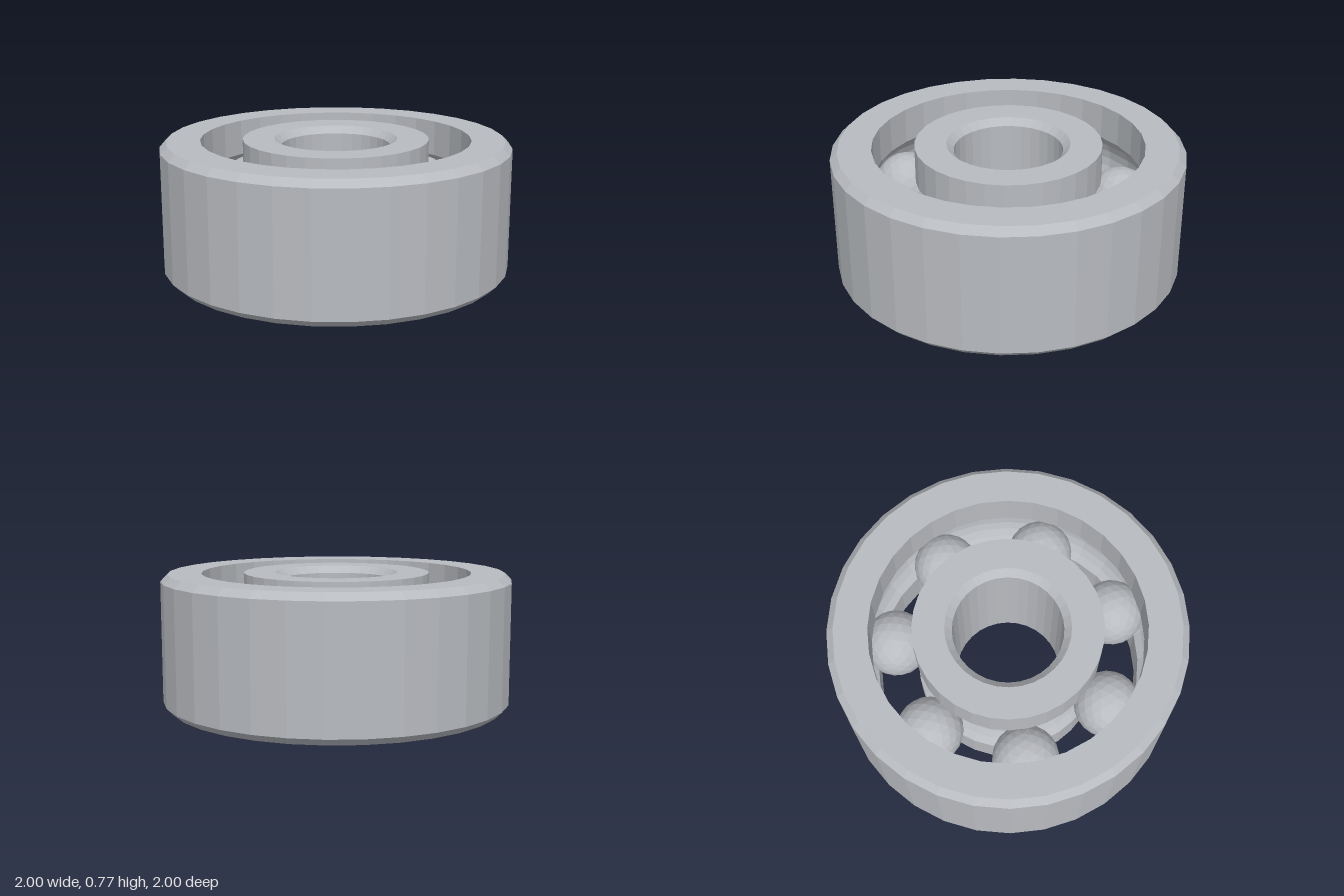
import * as THREE from 'three';

const HEIGHT = 0.77, MID = HEIGHT / 2, CHAMFER = 0.04;
const PITCH = 0.65, BALL_RADIUS = 0.19, BALLS = 7;
const GROOVE_HALF = 0.175, SEGMENTS = 32;

const steel = new THREE.MeshStandardMaterial({ color: 0xb8bbc0 });
steel.name = 'steel';

// Faceted normals
function facet(geometry) {
  const g = geometry.index ? geometry.toNonIndexed() : geometry;
  g.computeVertexNormals();
  return g;
}

// Arc of the ball track, from the bottom lip to the top lip of a wall
function groove(wallRadius, steps = 8) {
  const offset = wallRadius - PITCH;
  const radius = Math.hypot(offset, GROOVE_HALF);
  const half = Math.asin(GROOVE_HALF / radius);
  const points = [];
  for (let i = 0; i <= steps; i++) {
    const a = -half + (2 * half * i) / steps;
    points.push([PITCH + Math.sign(offset) * radius * Math.cos(a), MID + radius * Math.sin(a)]);
  }
  return points;
}

// Closed profile, counterclockwise in (radius, height)
function ring(name, profile) {
  const points = [...profile, profile[0]].map(([r, y]) => new THREE.Vector2(r, y));
  const mesh = new THREE.Mesh(facet(new THREE.LatheGeometry(points, SEGMENTS)), steel);
  mesh.name = name;
  return mesh;
}

export function createModel() {
  const model = new THREE.Group();
  model.name = 'ballBearing';

  // Outer ring: chamfered outside, track inside
  model.add(ring('outerRing', [
    [0.77, 0], [1 - CHAMFER, 0], [1, CHAMFER], [1, HEIGHT - CHAMFER],
    [1 - CHAMFER, HEIGHT], [0.77, HEIGHT], ...groove(0.77).reverse(),
  ]));

  // Inner ring: track outside, chamfered bore
  model.add(ring('innerRing', [
    [0.35, 0], [0.53, 0], ...groove(0.53), [0.53, HEIGHT],
    [0.35, HEIGHT], [0.31, HEIGHT - CHAMFER], [0.31, CHAMFER],
  ]));

  // Balls spaced evenly along the track
  const balls = new THREE.Group();
  balls.name = 'balls';
  const ballGeometry = facet(new THREE.IcosahedronGeometry(BALL_RADIUS, 3));
  for (let i = 0; i < BALLS; i++) {
    const angle = (i / BALLS) * Math.PI * 2;
    const ball = new THREE.Mesh(ballGeometry, steel);
    ball.name = `ball${i + 1}`;
    ball.position.set(PITCH * Math.cos(angle), MID, PITCH * Math.sin(angle));
    ball.rotation.y = -angle;
    balls.add(ball);
  }
  model.add(balls);
  return model;
}
